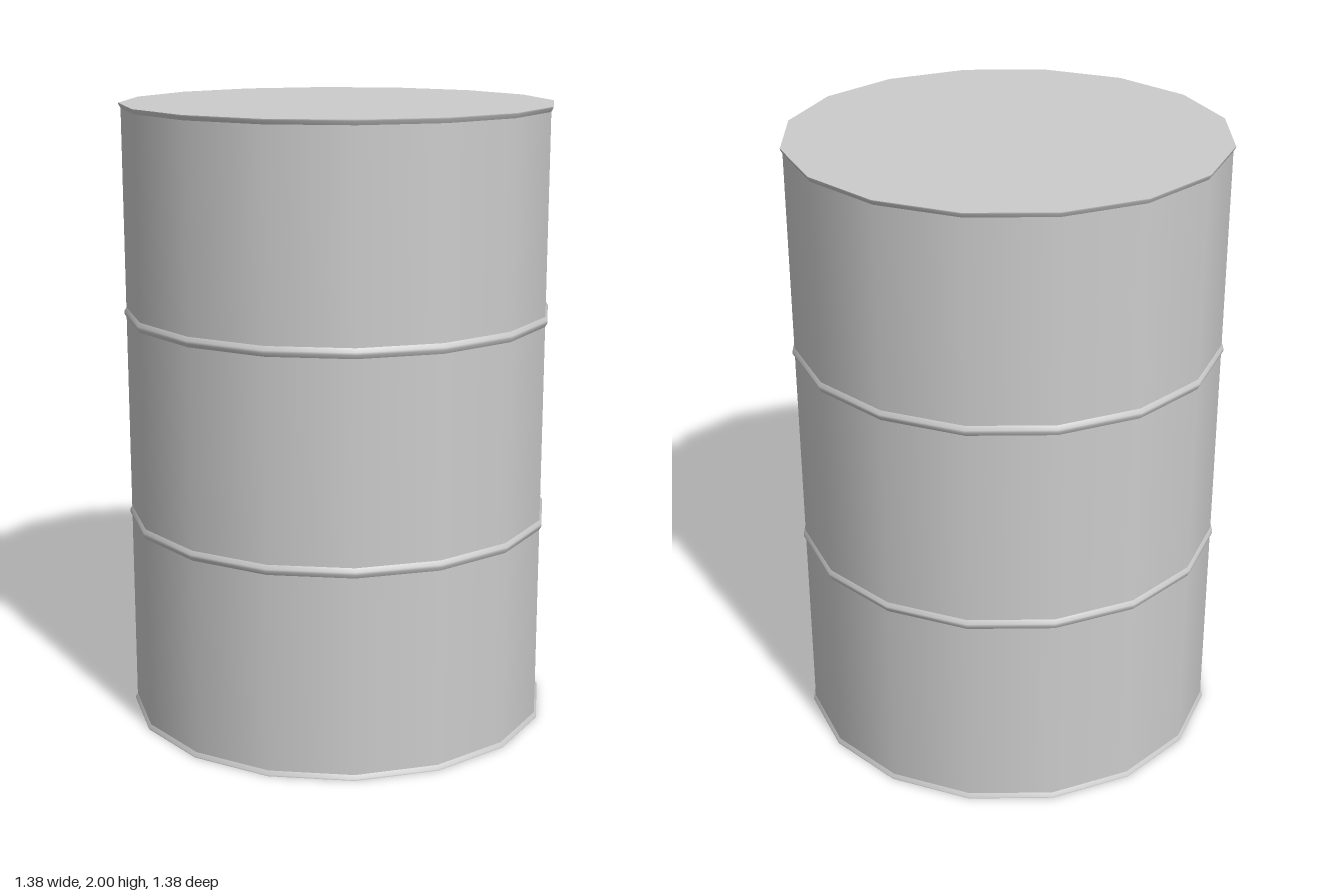
import * as THREE from 'three';

const SIDES = 16;
const WALL = 0.683; // wall radius
const LIP = 0.69;   // radius of ribs and rims
const HALF = 0.016; // half height of a rib, height of a rim

export function createModel() {
  const drum = new THREE.Group();
  drum.name = 'drum';
  const steel = new THREE.MeshStandardMaterial({ color: 0xcccccc });
  steel.name = 'grey steel';

  const add = (name, geometry) => {
    const mesh = new THREE.Mesh(geometry, steel);
    mesh.name = name;
    drum.add(mesh);
    return mesh;
  };
  // Smooth ring from [radius, height] pairs, listed bottom to top
  const ring = (name, profile) =>
    add(name, new THREE.LatheGeometry(profile.map(([r, y]) => new THREE.Vector2(r, y)), SIDES));

  // Straight walls between the ribs and rims
  const ribs = [2 / 3, 4 / 3];
  const bands = [
    ['lowerWall', HALF, ribs[0] - HALF],
    ['middleWall', ribs[0] + HALF, ribs[1] - HALF],
    ['upperWall', ribs[1] + HALF, 2 - HALF],
  ];
  for (const [name, y0, y1] of bands) ring(name, [[WALL, y0], [WALL, y1]]);

  // Raised rolling ribs
  ribs.forEach((y, i) =>
    ring(i ? 'upperRib' : 'lowerRib', [[WALL, y - HALF], [LIP, y - 0.004], [LIP, y + 0.004], [WALL, y + HALF]]));

  // Flared rims
  ring('bottomRim', [[LIP, 0], [LIP, 0.004], [WALL, HALF]]);
  ring('topRim', [[WALL, 2 - HALF], [LIP, 1.996], [LIP, 2]]);

  // Flat ends
  const lid = add('lid', new THREE.CircleGeometry(LIP, SIDES));
  lid.rotation.x = -Math.PI / 2;
  lid.position.y = 2;
  const base = add('base', new THREE.CircleGeometry(LIP, SIDES));
  base.rotation.x = Math.PI / 2;

  return drum;
}
